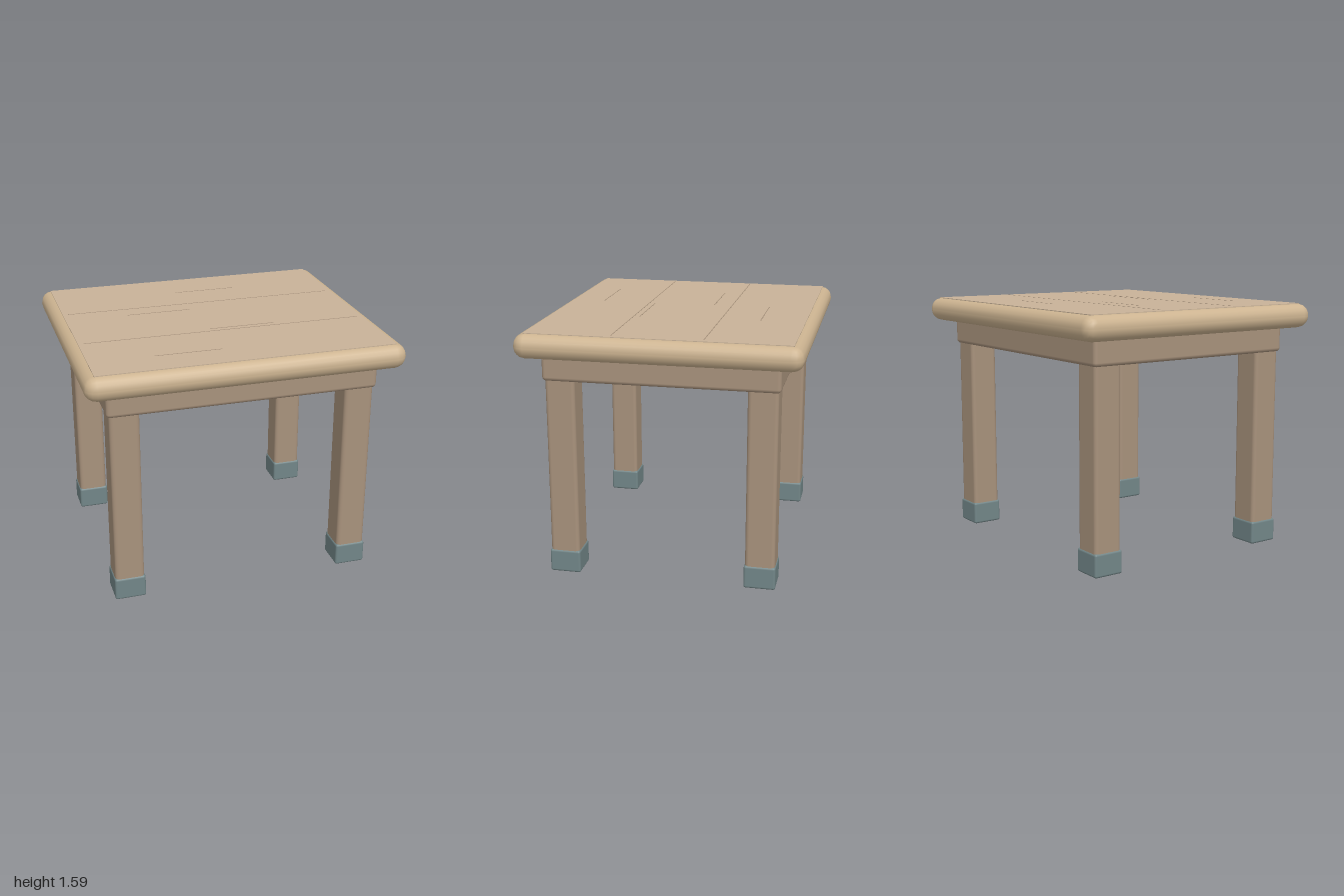
import * as THREE from 'three';
import { RoundedBoxGeometry } from 'three/addons/geometries/RoundedBoxGeometry.js';

const paint = (color) => new THREE.MeshStandardMaterial({ color });

export function createModel() {
  const table = new THREE.Group();
  table.name = 'table';
  const topWood = paint(0xcdb491);
  const panelWood = paint(0xc8b298);
  const legWood = paint(0xa8927c);
  const rubber = paint(0x728688);

  // Rounded block given by its size, bottom height and centre
  function block(name, material, [w, h, d], radius, x, bottom, z, parent = table) {
    const mesh = new THREE.Mesh(new RoundedBoxGeometry(w, h, d, 2, radius), material);
    mesh.name = name;
    mesh.position.set(x, bottom + h / 2, z);
    parent.add(mesh);
    return mesh;
  }

  // Thick top with a fully rounded rim, over a solid apron
  block('tableTop', topWood, [2, 0.155, 1.75], 0.074, 0, 1.428, 0);
  block('apron', legWood, [1.72, 0.2, 1.47], 0.025, 0, 1.27, 0);

  // Thin panel laid on the top
  const panel = new THREE.Mesh(new THREE.BoxGeometry(1.87, 0.01, 1.625), panelWood);
  panel.name = 'topPanel';
  panel.position.y = 1.58;
  table.add(panel);

  // Plank seams and short grain marks: x, z, length
  const marks = [
    ['plankSeam', 0, -0.28, 1.8], ['plankSeam', 0, 0.28, 1.8],
    ['grainMark', 0.1, -0.53, 0.42], ['grainMark', -0.32, -0.16, 0.42],
    ['grainMark', 0.13, 0.24, 0.42], ['grainMark', -0.32, 0.6, 0.42],
  ];
  for (const [name, x, z, length] of marks) {
    const mark = new THREE.Mesh(new THREE.BoxGeometry(length, 0.002, 0.006), legWood);
    mark.name = name;
    mark.position.set(x, 1.585, z);
    table.add(mark);
  }

  // Four square legs with rubber feet
  for (const sx of [-1, 1]) {
    for (const sz of [-1, 1]) {
      const corner = new THREE.Group();
      corner.name = (sz > 0 ? 'front' : 'back') + (sx > 0 ? 'Left' : 'Right') + 'Leg';
      corner.position.set(sx * 0.75, 0, sz * 0.627);
      block('leg', legWood, [0.188, 1.27, 0.188], 0.025, 0, 0.08, 0, corner);
      block('foot', rubber, [0.2, 0.15, 0.2], 0.015, 0, 0, 0, corner);
      table.add(corner);
    }
  }
  return table;
}
